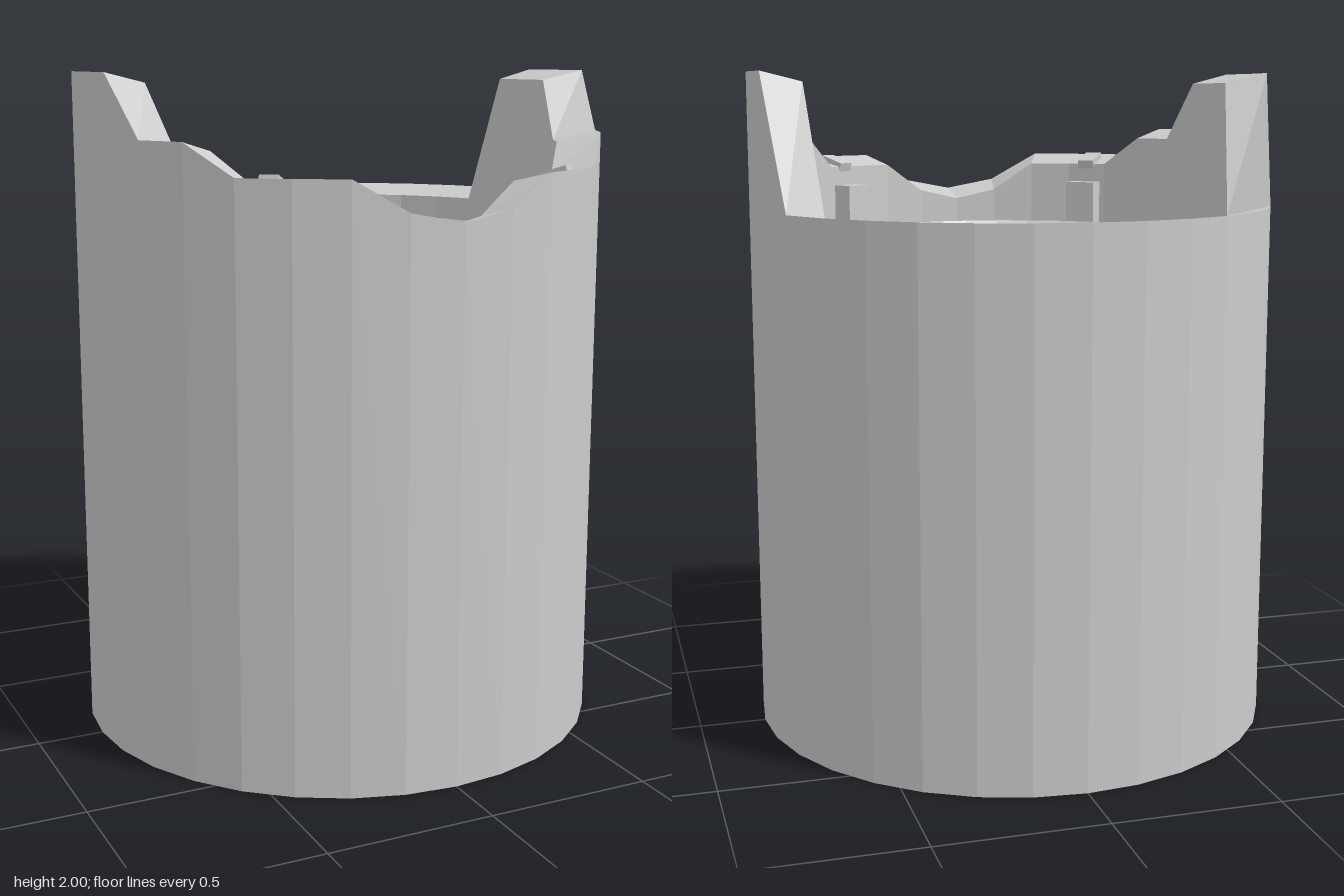
import * as THREE from 'three';

const SIDES = 32;
const FLOOR = 1.2; // ledge between wall and bowl
// Rim height at each side corner, from the front centre round to the back
const RIM = [1.61, 1.64, 1.73, 1.73, 1.73, 1.82, 1.82, 2, 2, 2, 1.6, 1.6, 1.6, 1.6, 1.6, 1.6, 1.6];

export function createModel() {
  const model = new THREE.Group();
  const material = new THREE.MeshStandardMaterial({ color: 0xcccccc, flatShading: true });

  const add = (geometry, name, parent = model) => {
    const mesh = new THREE.Mesh(geometry, material);
    mesh.name = name;
    parent.add(mesh);
    return mesh;
  };
  const lathe = (profile) =>
    new THREE.LatheGeometry(profile.map(([r, y]) => new THREE.Vector2(r, y)), SIDES);

  // Outer wall: a turned shell whose two rim rings follow the stepped heights
  const profile = [[0, 0], [0.8, 0], [0.8, 2], [0.67, 1.97], [0.67, FLOOR], [0.585, FLOOR]];
  const wall = lathe(profile);
  const pos = wall.attributes.position;
  for (let i = 0; i <= SIDES; i++) {
    const height = RIM[Math.min(i, SIDES - i)];
    pos.setY(i * profile.length + 2, height);
    pos.setY(i * profile.length + 3, height - 0.03);
  }
  add(wall, 'outerWall');

  // Funnel bowl with a steep outer skirt and a small flat bottom
  add(lathe([[0.585, FLOOR], [0.55, 1.51], [0.1, 0.86], [0, 0.86]]), 'bowl');

  // Pair of latches on the front rim: post against the wall and a tab on top
  for (const side of [1, -1]) {
    const latch = new THREE.Group();
    latch.name = side > 0 ? 'leftLatch' : 'rightLatch';
    latch.rotation.y = side * 3.5 * (Math.PI * 2 / SIDES);
    model.add(latch);

    const post = add(new THREE.BoxGeometry(0.1, 1.64 - FLOOR, 0.065), 'latchPost', latch);
    post.position.set(0, (1.64 + FLOOR) / 2, 0.638);

    const tab = add(new THREE.BoxGeometry(0.055, 0.04, 0.085), 'latchTab', latch);
    tab.position.set(0, 1.705, 0.705);
    tab.rotation.x = -0.3;
  }
  return model;
}
